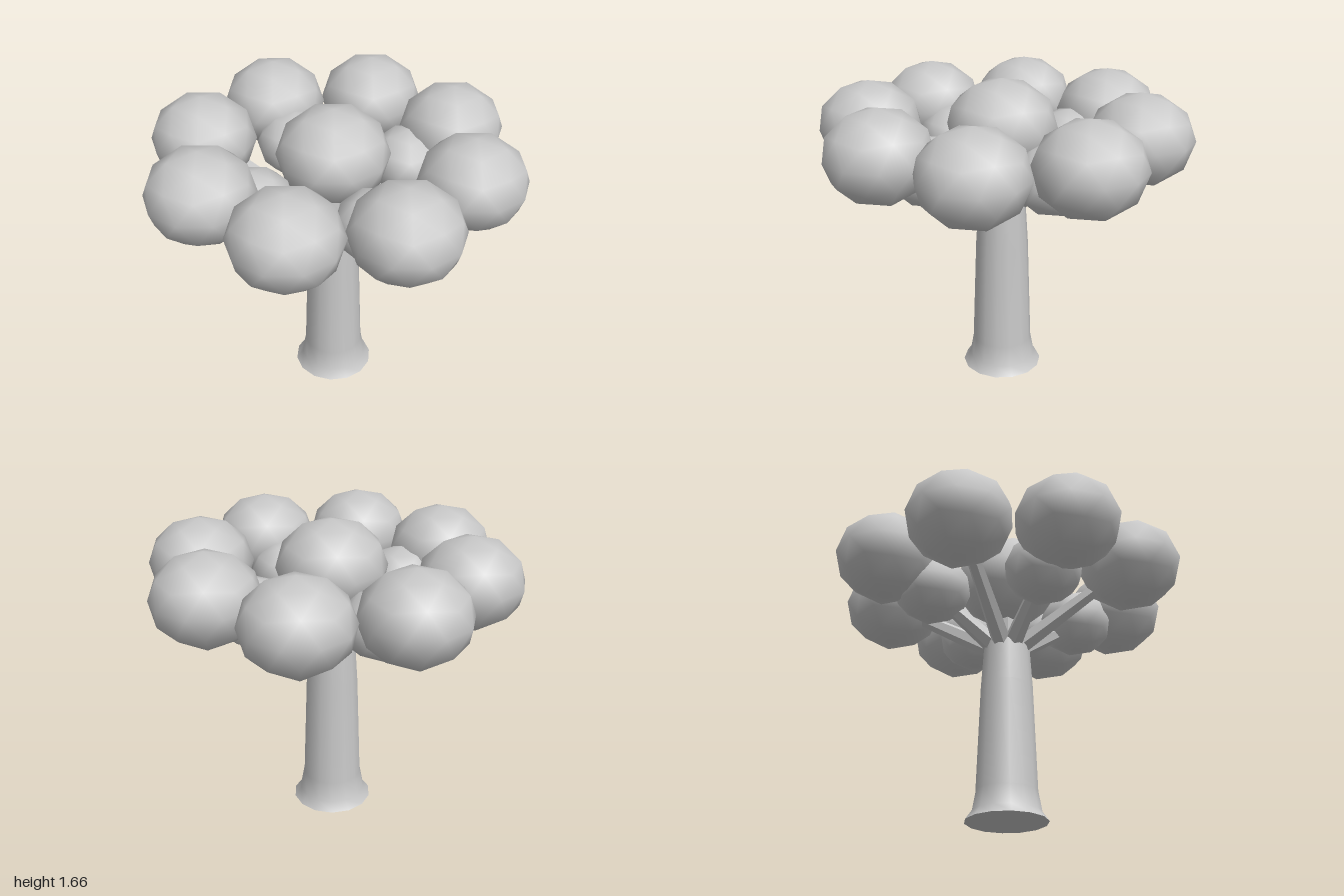
import * as THREE from 'three';

export function createModel() {
  const tree = new THREE.Group();
  tree.name = 'tree';
  const grey = new THREE.MeshStandardMaterial({ color: 0xc8c8c8 });
  grey.name = 'plain grey';

  const add = (geometry, name) => {
    const mesh = new THREE.Mesh(geometry, grey);
    mesh.name = name;
    tree.add(mesh);
    return mesh;
  };

  // Trunk: flared foot, gentle taper, flat caps
  const profile = [[0.22, 0], [0.184, 0.05], [0.164, 0.16], [0.143, 0.75], [0.126, 1.01]];
  const sides = 14;
  add(new THREE.LatheGeometry(profile.map(([r, y]) => new THREE.Vector2(r, y)), sides, Math.PI / 2), 'trunk');
  add(new THREE.CircleGeometry(0.22, sides).rotateX(Math.PI / 2), 'trunkBottom');
  add(new THREE.CircleGeometry(0.126, sides).rotateX(-Math.PI / 2), 'trunkTop').position.y = 1.01;

  // Leaf clumps: squashed low-poly balls with one corner at the top
  const ball = new THREE.IcosahedronGeometry(1, 1);
  ball.rotateZ(-Math.atan(2 / (1 + Math.sqrt(5))));
  const addClump = (name, x, y, z, r) => {
    const clump = add(ball, name);
    clump.position.set(x, y, z);
    clump.scale.set(r, r * 0.857, r);
  };

  // Branches: tapered six-sided limbs with flat facets
  const up = new THREE.Vector3(0, 1, 0);
  const addBranch = (name, from, to, r0, r1) => {
    const dir = to.clone().sub(from);
    const geometry = new THREE.CylinderGeometry(r1, r0, dir.length(), 6).toNonIndexed();
    geometry.computeVertexNormals();
    const branch = add(geometry, name);
    branch.position.copy(from).add(to).multiplyScalar(0.5);
    branch.quaternion.setFromUnitVectors(up, dir.normalize());
  };

  addClump('topClump', 0, 1.41, 0, 0.295);
  addBranch('topBranch', new THREE.Vector3(0, 0.98, 0), new THREE.Vector3(0, 1.3, 0), 0.05, 0.035);

  // Ring of eight clumps, with smaller ones below on the diagonals
  for (let i = 0; i < 8; i++) {
    const a = (i * Math.PI) / 4;
    const c = Math.cos(a), s = Math.sin(a);
    addClump('outerClump', c * 0.717, 1.38, s * 0.717, 0.28);
    const start = new THREE.Vector3(c * 0.06, 0.98, s * 0.06);
    if (i % 2) {
      addClump('innerClump', c * 0.45, 1.25, s * 0.45, 0.212);
      addBranch('innerBranch', start, new THREE.Vector3(c * 0.42, 1.22, s * 0.42), 0.055, 0.035);
    } else {
      addBranch('outerBranch', start, new THREE.Vector3(c * 0.66, 1.35, s * 0.66), 0.055, 0.033);
    }
  }
  return tree;
}
